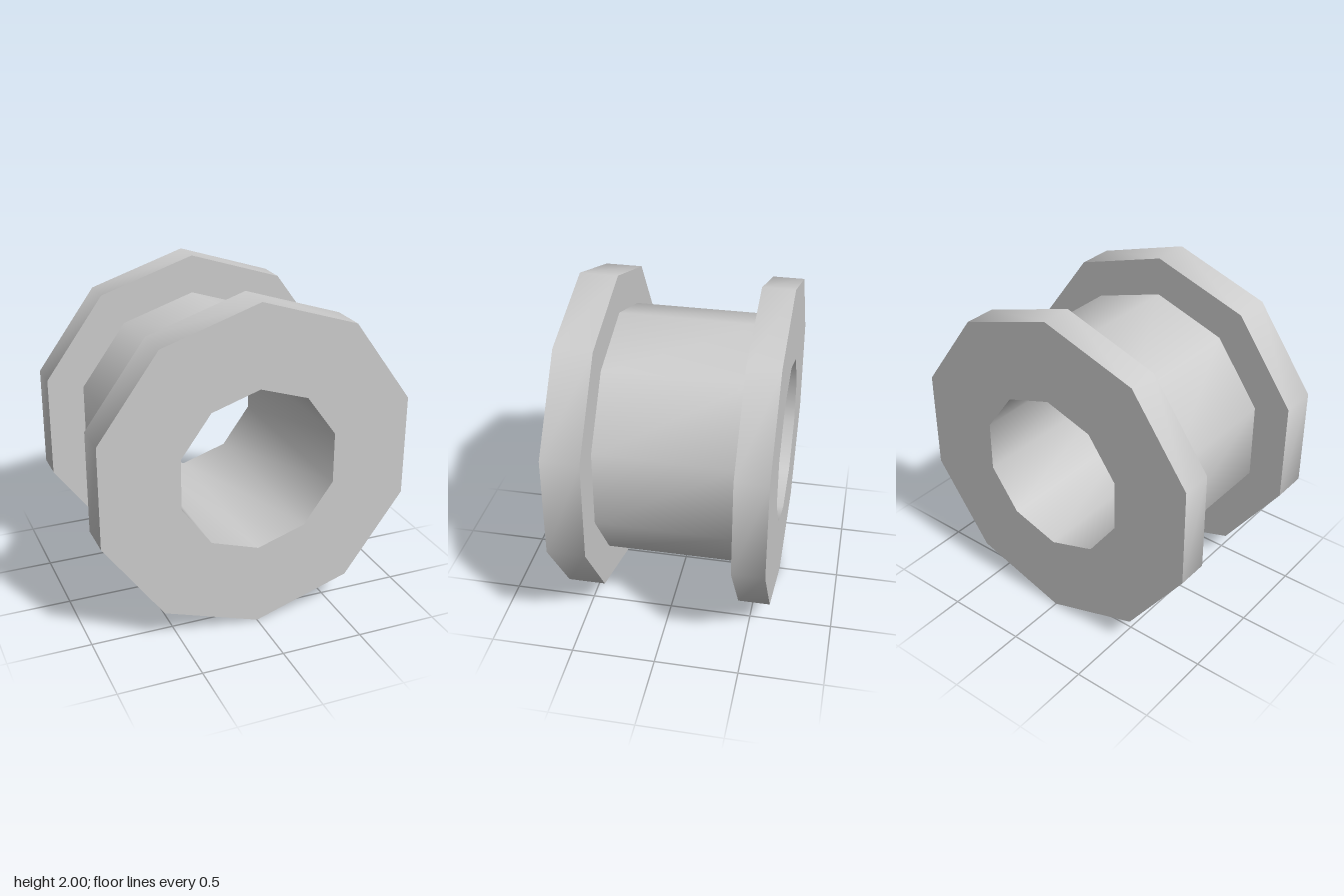
import * as THREE from 'three';
import { toCreasedNormals } from 'three/addons/utils/BufferGeometryUtils.js';

const SIDES = 10;
const OUTER = 1, HUB = 0.765, BORE = 0.5;
const FRONT = 0.627, FRONT_IN = 0.4, BACK_IN = -0.435, BACK = -0.627;

export function createModel() {
  const spool = new THREE.Group();
  spool.name = 'spool';
  const material = new THREE.MeshStandardMaterial({ color: 0xcccccc });

  // Turns a [radius, z] profile around the z axis, a corner at the top
  function turned(name, profile) {
    const points = profile.map(([r, z]) => new THREE.Vector2(r, z));
    const lathe = new THREE.LatheGeometry(points, SIDES).rotateX(Math.PI / 2);
    // smooth around the axis, sharp at the rims
    const mesh = new THREE.Mesh(toCreasedNormals(lathe, 0.8), material);
    mesh.name = name;
    mesh.position.y = OUTER;
    spool.add(mesh);
  }

  // End flanges; the front one is slightly thicker
  turned('frontFlange', [[HUB, FRONT_IN], [OUTER, FRONT_IN], [OUTER, FRONT], [BORE, FRONT]]);
  turned('backFlange', [[BORE, BACK], [OUTER, BACK], [OUTER, BACK_IN], [HUB, BACK_IN]]);

  // Barrel between the flanges and the hole through the middle
  turned('hub', [[HUB, BACK_IN], [HUB, FRONT_IN]]);
  turned('bore', [[BORE, FRONT], [BORE, BACK]]);

  return spool;
}
